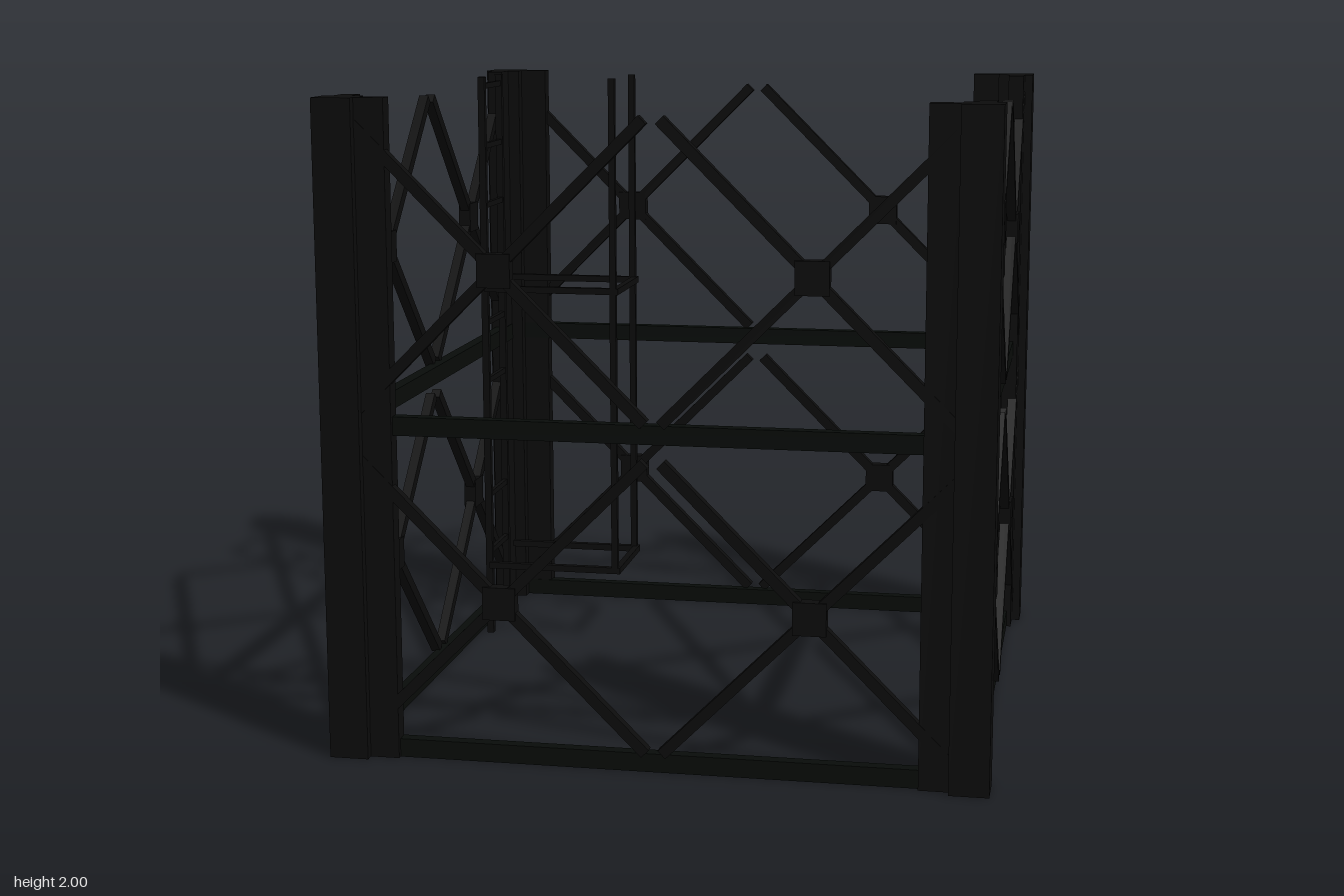
import * as THREE from 'three';

const steel = new THREE.MeshStandardMaterial({ color: 0x0c0c0c });
steel.name = 'black steel';
const beamSteel = new THREE.MeshStandardMaterial({ color: 0x080c09 });
beamSteel.name = 'dark beam steel';

// Box given by its lower and upper limits on each axis
function bar(parent, name, [x0, x1], [y0, y1], [z0, z1], material = steel) {
  const mesh = new THREE.Mesh(new THREE.BoxGeometry(x1 - x0, y1 - y0, z1 - z0), material);
  mesh.position.set((x0 + x1) / 2, (y0 + y1) / 2, (z0 + z1) / 2);
  mesh.name = name;
  parent.add(mesh);
  return mesh;
}

const around = (c, size) => [c - size / 2, c + size / 2];

// One side of the tower, lying near z = +0.95
function createWall() {
  const wall = new THREE.Group();

  // Corner column with a flange reaching along the wall on both ends
  bar(wall, 'column', [0.88, 1], [0, 2], [0.88, 1]);
  bar(wall, 'columnFlangeLeft', [0.79, 0.89], [0, 2], [0.92, 0.972]);
  bar(wall, 'columnFlangeRight', [-0.89, -0.79], [0, 2], [0.92, 0.972]);

  for (const level of [0, 1]) {
    bar(wall, 'crossBeam', [-0.9, 0.9], [level, level + 0.057], [0.918, 0.957], beamSteel);

    // Crossed braces with a joint plate in each bay
    for (const side of [-1, 1]) {
      const x = side * 0.467, y = level + 0.503;
      for (const tilt of [-1, 1]) {
        const brace = bar(wall, 'brace', around(x, 1.25), around(y, 0.033), [0.943, 0.974]);
        brace.rotation.z = tilt * Math.PI / 4;
      }
      bar(wall, 'jointPlate', around(x, 0.1), around(y, 0.1), [0.94, 0.981]);
    }
  }
  return wall;
}

// Ladder standing inside the wall at -x
function createLadder() {
  const ladder = new THREE.Group();
  ladder.name = 'ladder';
  for (const z of [-0.388, -0.612]) {
    bar(ladder, 'ladderRail', [-0.893, -0.869], [0, 2], around(z, 0.022));
  }
  for (let i = 0; i < 10; i++) {
    bar(ladder, 'rung', [-0.887, -0.872], around(0.096 + i * 0.208, 0.019), [-0.61, -0.39]);
  }
  return ladder;
}

// Safety cage: two uprights and two U-shaped hoops
function createCage() {
  const cage = new THREE.Group();
  cage.name = 'ladderCage';
  for (const z of [-0.338, -0.663]) {
    bar(cage, 'cageUpright', around(-0.407, 0.022), [0.255, 2], around(z, 0.022));
    for (const y of [0.265, 1.265]) {
      bar(cage, 'hoopArm', [-0.866, -0.388], around(y, 0.022), around(z, 0.022));
    }
  }
  for (const y of [0.265, 1.265]) {
    bar(cage, 'hoopFront', [-0.41, -0.388], around(y, 0.022), [-0.673, -0.328]);
  }
  return cage;
}

export function createModel() {
  const model = new THREE.Group();
  model.name = 'latticeTower';
  ['frontWall', 'leftWall', 'backWall', 'rightWall'].forEach((name, i) => {
    const wall = createWall();
    wall.name = name;
    wall.rotation.y = i * Math.PI / 2;
    model.add(wall);
  });
  model.add(createLadder(), createCage());
  return model;
}
